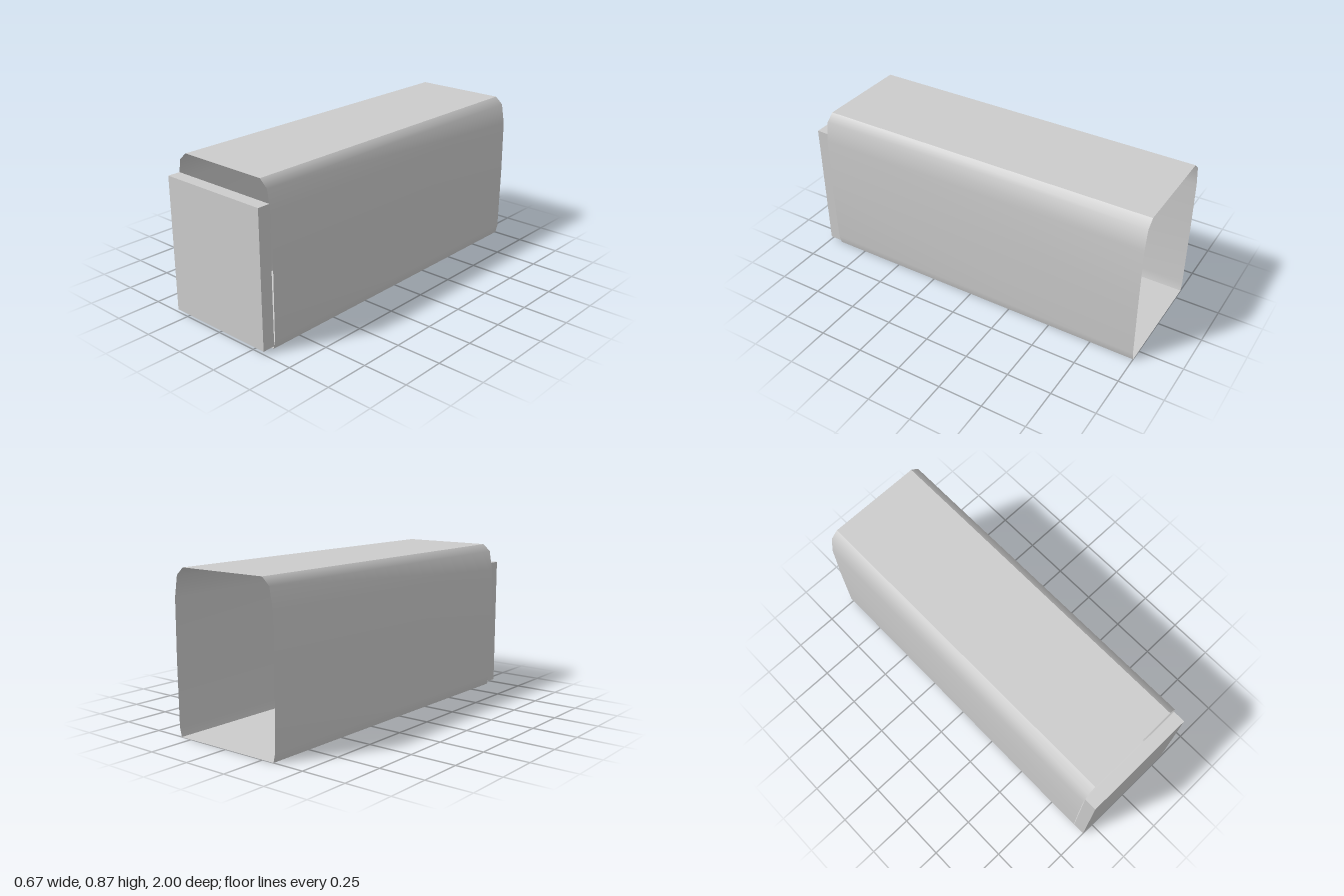
import * as THREE from 'three';

const FRONT = 0.93, BACK = -1;

// Open sheet: sweeps a counterclockwise run of [x, y] points along z, smooth within the run
function sheet(points) {
  const positions = [], index = [];
  points.forEach(([x, y], i) => {
    positions.push(x, y, FRONT, x, y, BACK);
    if (i > 0) {
      const a = 2 * (i - 1);
      index.push(a, a + 1, a + 2, a + 1, a + 3, a + 2);
    }
  });
  const geometry = new THREE.BufferGeometry();
  geometry.setAttribute('position', new THREE.Float32BufferAttribute(positions, 3));
  geometry.setIndex(index);
  geometry.computeVertexNormals();
  return geometry;
}

export function createModel() {
  const grey = new THREE.MeshStandardMaterial({ color: 0xcccccc, side: THREE.DoubleSide });
  grey.name = 'light grey';

  const model = new THREE.Group();
  model.name = 'sleeveWithEndPlate';
  const add = (name, geometry, parent) => {
    const mesh = new THREE.Mesh(geometry, grey);
    mesh.name = name;
    parent.add(mesh);
    return mesh;
  };

  // Thin-walled sleeve, open at both ends; hard edges only beside the flat top and bottom
  const sleeve = new THREE.Group();
  sleeve.name = 'sleeve';
  model.add(sleeve);
  const side = [
    [0.32, 0], [0.332, 0.05], [0.336, 0.4],
    [0.333, 0.715], [0.313, 0.83], [0.268, 0.87],
  ];
  const mirrored = side.map(([x, y]) => [-x, y]).reverse();
  add('leftWall', sheet(side), sleeve);
  add('rightWall', sheet(mirrored), sleeve);
  add('topPanel', sheet([side[side.length - 1], mirrored[0]]), sleeve);
  add('bottomPanel', sheet([mirrored[mirrored.length - 1], side[0]]), sleeve);

  // Rectangular plate standing just off the front opening
  add('endPlate', new THREE.BoxGeometry(0.65, 0.743, 0.07), model).position.set(0, 0.3875, 0.965);

  return model;
}
